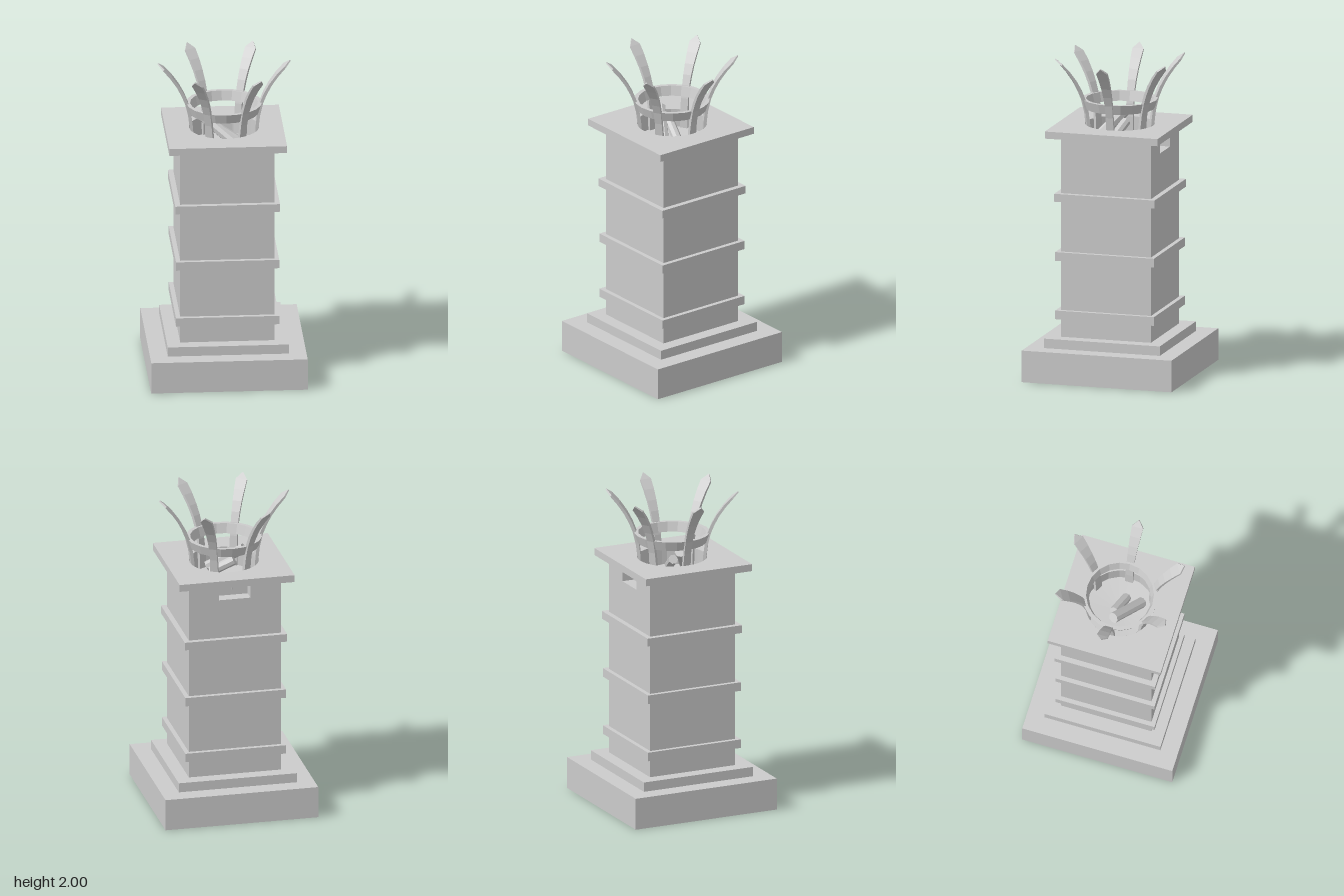
import * as THREE from 'three';

const grey = new THREE.MeshStandardMaterial({ color: 0xcccccc, flatShading: true });
const thin = new THREE.MeshStandardMaterial({ color: 0xcccccc, flatShading: true, side: THREE.DoubleSide });
const inner = new THREE.MeshStandardMaterial({ color: 0xcccccc, flatShading: true, side: THREE.BackSide });

function add(parent, name, geometry, material = grey) {
  const mesh = new THREE.Mesh(geometry, material);
  mesh.name = name;
  parent.add(mesh);
  return mesh;
}

const points = (list, k = 1) => list.map(([r, y]) => new THREE.Vector2(r * k, y));

// Square shell: a profile of half-widths swept round some of the four sides
function squareShell(profile, sides, start) {
  const g = new THREE.LatheGeometry(points(profile, Math.SQRT2), sides, start, sides * Math.PI / 2).toNonIndexed();
  g.computeVertexNormals();
  return g;
}

function rectangle(x0, y0, x1, y1, Type = THREE.Shape) {
  return new Type([[x0, y0], [x1, y0], [x1, y1], [x0, y1]].map(p => new THREE.Vector2(...p)));
}

// Curved pointed blade, made of four-cornered sections along an outward bend
function bladeGeometry() {
  // radius, height, half width, half thickness
  const stations = [
    [0.198, 1.46, 0.025, 0.009], [0.203, 1.57, 0.025, 0.010], [0.213, 1.65, 0.023, 0.010],
    [0.232, 1.73, 0.024, 0.010], [0.256, 1.79, 0.026, 0.010], [0.288, 1.85, 0.029, 0.009],
    [0.330, 1.91, 0.033, 0.008], [0.376, 1.963, 0.036, 0.006], [0.411, 1.997, 0.001, 0.004],
  ];
  const pos = [], index = [];
  stations.forEach(([r, y, w, t], i) => {
    const a = stations[Math.max(i - 1, 0)], b = stations[Math.min(i + 1, stations.length - 1)];
    const n = new THREE.Vector2(b[1] - a[1], a[0] - b[0]).normalize().multiplyScalar(t);
    for (const [s, q] of [[1, 1], [1, -1], [-1, -1], [-1, 1]]) pos.push(r + s * n.x, y + s * n.y, q * w);
    if (i === 0) return;
    for (let k = 0; k < 4; k++) {
      const p = (i - 1) * 4 + k, q = (i - 1) * 4 + (k + 1) % 4;
      index.push(p, q, q + 4, p, q + 4, p + 4);
    }
  });
  const e = (stations.length - 1) * 4;
  index.push(0, 2, 1, 0, 3, 2, e, e + 1, e + 2, e, e + 2, e + 3);
  const g = new THREE.BufferGeometry();
  g.setAttribute('position', new THREE.Float32BufferAttribute(pos, 3));
  g.setIndex(index);
  g.computeVertexNormals();
  return g;
}

function addLog(parent, from, to, radius) {
  const a = new THREE.Vector3(...from), b = new THREE.Vector3(...to);
  const dir = b.clone().sub(a);
  const log = add(parent, 'log', new THREE.CylinderGeometry(radius, radius, dir.length(), 8));
  log.position.copy(a).lerp(b, 0.5);
  log.quaternion.setFromUnitVectors(new THREE.Vector3(0, 1, 0), dir.normalize());
}

export function createModel() {
  const model = new THREE.Group();
  model.name = 'brazierPillar';

  // Hollow plinth, step and column with three projecting bands
  const profile = [[0.485, 0], [0.485, 0.2], [0.375, 0.2], [0.375, 0.26], [0.292, 0.26]];
  for (const [y0, y1, h] of [[0.375, 0.43, 0.32], [0.745, 0.8, 0.32], [1.12, 1.17, 0.325]]) {
    profile.push([0.292, y0], [h, y0], [h, y1], [0.292, y1]);
  }
  add(model, 'pillar', squareShell(profile, 4, Math.PI / 4), thin);

  // Top of the column: three plain walls, and a back wall with a vent
  add(model, 'upperWalls', squareShell([[0.292, 1.17], [0.292, 1.53]], 3, Math.PI * 5 / 4), thin);
  const back = rectangle(-0.292, 1.17, 0.292, 1.53);
  back.holes.push(rectangle(-0.1, 1.42, 0.1, 1.51, THREE.Path));
  const backWall = add(model, 'upperBackWall', new THREE.ShapeGeometry(back), thin);
  backWall.rotation.y = Math.PI;
  backWall.position.z = -0.292;
  add(model, 'vent', new THREE.BoxGeometry(0.2, 0.09, 0.076), inner).position.set(0, 1.465, -0.254);

  // Cap slab with a round opening
  const slab = rectangle(-0.365, -0.365, 0.365, 0.365);
  slab.holes.push(new THREE.Path().absarc(0, 0.008, 0.217, 0, Math.PI * 2, true));
  const cap = add(model, 'cap', new THREE.ExtrudeGeometry(slab, { depth: 0.045, bevelEnabled: false, curveSegments: 20 }));
  cap.rotation.x = -Math.PI / 2;
  cap.position.set(0, 1.525, 0.008);

  // Fire bowl and logs
  add(model, 'fireBowl', new THREE.LatheGeometry(points([[0, 1.44], [0.217, 1.455], [0.217, 1.565]]), 20), thin);
  addLog(model, [-0.125, 1.635, -0.005], [0.075, 1.49, 0.12], 0.034);
  addLog(model, [-0.06, 1.57, -0.02], [0.08, 1.49, 0.02], 0.03);

  // Flared ring tying the blades together
  const ring = points([[0.192, 1.67], [0.215, 1.67], [0.235, 1.73], [0.21, 1.73], [0.192, 1.67]]);
  add(model, 'ring', new THREE.LatheGeometry(ring, 20), thin);

  // Six blades around the fire
  const blade = bladeGeometry();
  for (let i = 0; i < 6; i++) add(model, 'blade', blade, thin).rotation.y = i * Math.PI / 3;

  return model;
}
